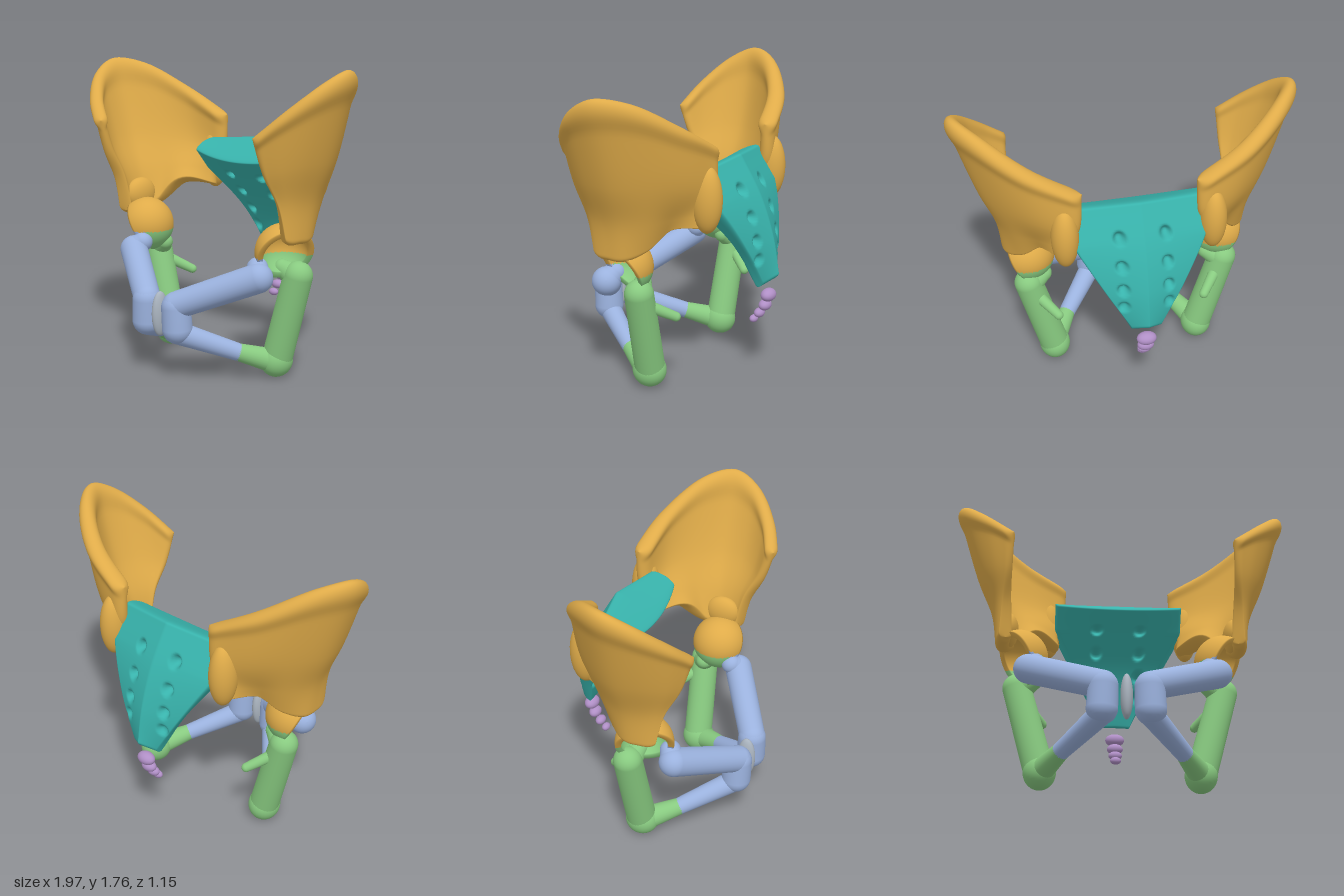
import * as THREE from 'three';
import { mergeVertices } from 'three/addons/utils/BufferGeometryUtils.js';

const V = (x, y, z) => new THREE.Vector3(x, y, z);
const curve = (pts) => new THREE.CatmullRomCurve3(pts.map((p) => V(...p)));
const material = (color) => new THREE.MeshStandardMaterial({ color });
const MAT = {
  ilium: material(0xdfab49), sacrum: material(0x38b3ac), pubis: material(0x9bb2de),
  ischium: material(0x88ca80), coccyx: material(0xb08fc6), disc: material(0xa9b3be),
};

function add(group, name, geometry, mat) {
  const mesh = new THREE.Mesh(geometry, mat);
  mesh.name = name;
  group.add(mesh);
}

// Rounded falloff towards both ends of 0..1
const edge = (s, w, p) => {
  const d = Math.min(1, Math.min(s, 1 - s) / w);
  return Math.pow(Math.max(0, 1 - Math.pow(1 - d, p)), 1 / p);
};

// Closed slab: two grids (side +1 and -1) that meet along their border
function slab(point, nu, nv) {
  const pos = [], index = [];
  const spread = (k, n) => (1 - Math.cos((Math.PI * k) / n)) / 2;
  for (const side of [1, -1]) {
    const base = pos.length / 3;
    for (let j = 0; j <= nv; j++)
      for (let i = 0; i <= nu; i++) pos.push(...point(spread(i, nu), spread(j, nv), side).toArray());
    for (let j = 0; j < nv; j++)
      for (let i = 0; i < nu; i++) {
        const a = base + j * (nu + 1) + i, b = a + 1, c = b + nu + 1, d = a + nu + 1;
        if (side > 0) index.push(a, b, c, a, c, d);
        else index.push(a, c, b, a, d, c);
      }
  }
  const g = new THREE.BufferGeometry();
  g.setAttribute('position', new THREE.Float32BufferAttribute(pos, 3));
  g.setIndex(index);
  const merged = mergeVertices(g, 1e-5);
  merged.computeVertexNormals();
  return merged;
}

// Tapered bar with round ends from a to b
function limb(a, b, ra, rb) {
  const dir = V(...b).sub(V(...a)), len = dir.length(), pts = [];
  for (const [r, y, start] of [[ra, 0, -1], [rb, len, 0]])
    for (let i = 0; i <= 10; i++) {
      const t = ((start + i / 10) * Math.PI) / 2;
      pts.push(new THREE.Vector2(Math.max(0, r * Math.cos(t)), y + r * Math.sin(t)));
    }
  return new THREE.LatheGeometry(pts, 28)
    .applyQuaternion(new THREE.Quaternion().setFromUnitVectors(V(0, 1, 0), dir.normalize()))
    .translate(...a);
}

const ellipsoid = (c, r) => new THREE.SphereGeometry(1, 32, 20).scale(...r).translate(...c);

// Keep only the triangles whose centre passes the test
function pick(geometry, test) {
  const g = geometry.clone(), p = g.attributes.position, src = geometry.index, out = [];
  for (let i = 0; i < src.count; i += 3) {
    const t = [0, 1, 2].map((k) => src.getX(i + k));
    const c = V(0, 0, 0);
    t.forEach((k) => c.add(V(p.getX(k), p.getY(k), p.getZ(k))));
    if (test(c.divideScalar(3))) out.push(...t);
  }
  g.setIndex(out);
  return g;
}

// Flared wing: rows run front to back, from the socket up to the crest
function iliumBlade() {
  const rows = [
    [[0.665, 0.84, 0.2], [0.675, 0.82, 0.17], [0.68, 0.82, 0.12], [0.67, 0.82, 0.05], [0.61, 0.87, -0.03], [0.51, 1.0, -0.13], [0.38, 0.98, -0.3]],
    [[0.66, 1.05, 0.25], [0.69, 1.05, 0.21], [0.715, 1.05, 0.13], [0.715, 1.05, 0.04], [0.65, 1.06, -0.08], [0.53, 1.08, -0.17], [0.38, 1.07, -0.3]],
    [[0.645, 1.22, 0.34], [0.73, 1.25, 0.28], [0.8, 1.28, 0.17], [0.81, 1.28, 0.03], [0.72, 1.28, -0.12], [0.55, 1.24, -0.25], [0.335, 1.2, -0.33]],
    [[0.635, 1.41, 0.405], [0.8, 1.56, 0.32], [0.925, 1.69, 0.19], [0.958, 1.757, 0.04], [0.85, 1.725, -0.12], [0.62, 1.585, -0.27], [0.32, 1.42, -0.33]],
  ].map(curve);
  const mid = (u, v) => new THREE.CatmullRomCurve3(rows.map((r) => r.getPoint(u))).getPoint(v);
  return slab((u, v, side) => {
    const u0 = Math.max(0, u - 0.01), u1 = Math.min(1, u + 0.01);
    const v0 = Math.max(0, v - 0.01), v1 = Math.min(1, v + 0.01);
    const du = mid(u1, v).sub(mid(u0, v)), dv = mid(u, v1).sub(mid(u, v0));
    const crest = 0.014 * THREE.MathUtils.smoothstep(v, 0.88, 0.95);
    const h = 0.027 + crest + 0.016 * u * u + 0.015 * (1 - v) ** 2;
    const n = du.cross(dv).normalize();
    return mid(u, v).addScaledVector(n, side * h * edge(u, 0.04, 2) * edge(v, 0.05, 2));
  }, 64, 56);
}

// Curved wedge with a ridge behind and rows of sunken openings
function sacrumBody() {
  const front = curve([[0, 1.185, -0.065], [0, 1.03, -0.215], [0, 0.83, -0.37], [0, 0.56, -0.48]]);
  const back = curve([[0, 1.325, -0.32], [0, 1.08, -0.46], [0, 0.85, -0.54], [0, 0.625, -0.58]]);
  const openings = [0.23, 0.44, 0.63, 0.78];
  return slab((u, v, side) => {
    const t = 1 - v, s = 2 * u - 1;
    const w = t < 0.26 ? 0.385 : THREE.MathUtils.lerp(0.385, 0.085, (t - 0.26) / 0.74);
    const x = s * w;
    const f = front.getPoint(t).add(V(x, 0.04 * s * s * (1 - t), -0.05 * s * s * (1 - t)));
    const b = back.getPoint(t).add(V(x, -0.035 * Math.abs(s), 0.06 * Math.abs(s)));
    const c = f.clone().add(b).multiplyScalar(0.5);
    const half = f.sub(b).multiplyScalar(0.5);
    let depth = half.length() * edge(u, 0.03, 3) * edge(v, 0.03, 3);
    for (const o of openings) {
      const r = Math.hypot(Math.abs(x) - 0.13, (t - o) * 0.75) / 0.029;
      depth -= Math.min(0.05, half.length() * 0.6) * Math.exp(-(r ** 4));
    }
    return c.addScaledVector(half.normalize(), side * depth);
  }, 120, 90);
}

// Hollow socket, opening outwards, down and forwards
function socketCup() {
  const pts = [], R = 0.165, r = 0.132, n = 26, open = 1.72;
  const ring = (rad, i) => {
    const a = (i / n) * open;
    pts.push(new THREE.Vector2(rad * Math.sin(a), -rad * Math.cos(a)));
  };
  for (let i = 0; i <= n; i++) ring(R, i);
  for (let i = n; i >= 0; i--) ring(r, i);
  const axis = V(0.78, -0.48, 0.36).normalize();
  return new THREE.LatheGeometry(pts, 64)
    .applyQuaternion(new THREE.Quaternion().setFromUnitVectors(V(0, 1, 0), axis))
    .translate(0.585, 0.755, 0.1);
}

function hipBone(name) {
  const g = new THREE.Group();
  g.name = name;
  add(g, 'iliumBlade', iliumBlade(), MAT.ilium);
  add(g, 'iliumNeck', ellipsoid([0.655, 0.935, 0.09], [0.06, 0.1, 0.11]), MAT.ilium);
  add(g, 'rearSpine', ellipsoid([0.42, 1.15, -0.328], [0.077, 0.19, 0.088]), MAT.ilium);

  // Socket, shared by three bones
  const cup = socketCup();
  add(g, 'socketTop', pick(cup, (c) => c.y > 0.73), MAT.ilium);
  add(g, 'socketFront', pick(cup, (c) => c.y <= 0.73 && c.z > 0.21), MAT.pubis);
  add(g, 'socketBase', pick(cup, (c) => c.y <= 0.73 && c.z <= 0.21), MAT.ischium);

  // Pubis
  add(g, 'upperRamusRoot', limb([0.49, 0.67, 0.215], [0.53, 0.625, 0.25], 0.06, 0.08), MAT.pubis);
  add(g, 'upperRamus', limb([0.53, 0.625, 0.25], [0.125, 0.44, 0.49], 0.083, 0.078), MAT.pubis);
  add(g, 'pubicBody', limb([0.125, 0.43, 0.49], [0.13, 0.305, 0.485], 0.083, 0.086), MAT.pubis);
  const joint = [0.34, 0.157, 0.21];
  add(g, 'lowerRamusFront', limb([0.13, 0.28, 0.48], joint, 0.065, 0.05), MAT.pubis);

  // Ischium
  add(g, 'lowerRamusRear', limb(joint, [0.45, 0.095, 0.04], 0.05, 0.07), MAT.ischium);
  add(g, 'ischiumRoot', limb([0.5, 0.645, 0.03], [0.59, 0.6, 0], 0.05, 0.08), MAT.ischium);
  add(g, 'ischiumShaft', limb([0.595, 0.61, 0], [0.455, 0.11, 0.015], 0.083, 0.088), MAT.ischium);
  add(g, 'sittingKnob', ellipsoid([0.452, 0.1, 0.02], [0.093, 0.1, 0.1]), MAT.ischium);
  add(g, 'ischialSpine', limb([0.55, 0.53, -0.03], [0.445, 0.452, -0.15], 0.035, 0.027), MAT.ischium);
  return g;
}

export function createModel() {
  const model = new THREE.Group();
  model.name = 'pelvis';

  const left = hipBone('leftHipBone');
  const right = left.clone();
  right.name = 'rightHipBone';
  right.scale.x = -1;
  model.add(left, right);

  add(model, 'sacrum', sacrumBody(), MAT.sacrum);
  add(model, 'frontDisc', ellipsoid([0, 0.37, 0.5], [0.034, 0.13, 0.055]), MAT.disc);

  // Tail bones, shrinking downwards
  [[0.5, -0.515, 0.058], [0.435, -0.495, 0.049], [0.38, -0.46, 0.041], [0.337, -0.425, 0.033]].forEach(
    ([y, z, r], i) => add(model, `tailBone${i + 1}`, ellipsoid([0, y, z], [r, r * 0.62 + 0.002, r * 0.73]), MAT.coccyx));
  return model;
}
